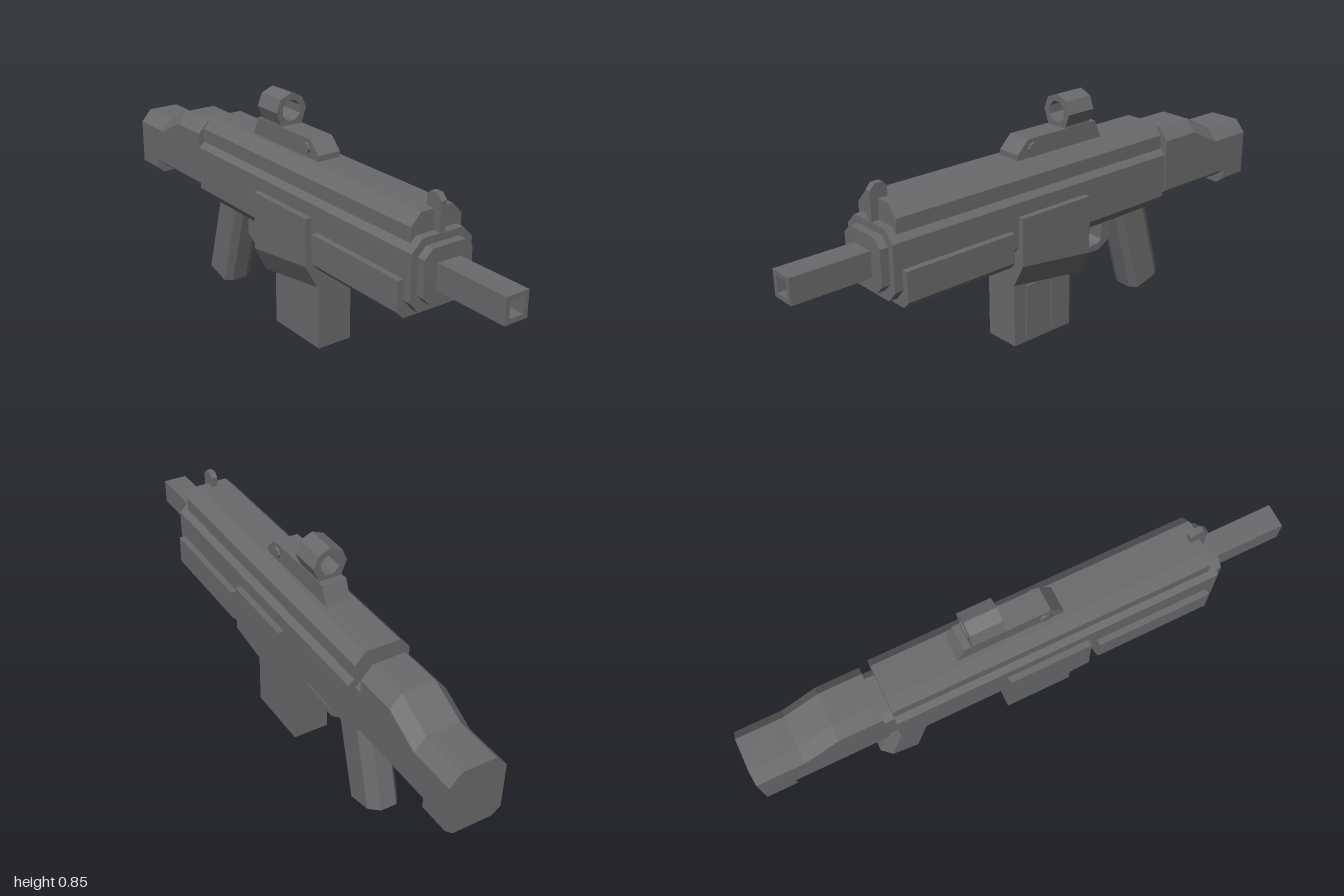
import * as THREE from 'three';

const gunmetal = new THREE.MeshStandardMaterial({ color: 0x6a6a6c });
gunmetal.name = 'gunmetal';
gunmetal.flatShading = true;

// Joins a series of matching 3D rings into a closed solid
function loft(rings) {
  const n = rings[0].length;
  const out = [];
  const tri = (a, b, c) => out.push(...a, ...b, ...c);
  for (let r = 0; r < rings.length - 1; r++) {
    const a = rings[r], b = rings[r + 1];
    for (let i = 0; i < n; i++) {
      const j = (i + 1) % n;
      tri(a[i], b[i], b[j]);
      tri(a[i], b[j], a[j]);
    }
  }
  const first = rings[0], last = rings[rings.length - 1];
  for (let i = 1; i < n - 1; i++) {
    tri(first[0], first[i], first[i + 1]);
    tri(last[0], last[i + 1], last[i]);
  }
  const g = new THREE.BufferGeometry();
  g.setAttribute('position', new THREE.Float32BufferAttribute(out, 3));
  g.computeVertexNormals();
  return g;
}

// Mirrored cross-section at x; half lists [z, y] from bottom to top
function section(x, half) {
  const right = half.map(([z, y]) => [x, y, z]);
  const left = half.map(([z, y]) => [x, y, -z]).reverse();
  return [...right, ...left];
}

// Box section with chamfered corners: [z, y] chamfers at bottom and top
const chamfered = (w, y0, y1, bz, by, tz, ty) =>
  [[w - bz, y0], [w, y0 + by], [w, y1 - ty], [w - tz, y1]];

const beam = (x0, x1, half) => loft([section(x0, half), section(x1, half)]);

function shapeOf(points) {
  return new THREE.Shape(points.map(([x, y]) => new THREE.Vector2(x, y)));
}

// Side profile extruded evenly about z = 0
function plate(points, width) {
  const g = new THREE.ExtrudeGeometry(shapeOf(points), { depth: width, bevelEnabled: false });
  return g.translate(0, 0, -width / 2);
}

// Hollow prism lying along x
function tubeX(sides, outer, inner, turnOuter, turnInner, x0, x1, y) {
  const ring = (r, turn) => Array.from({ length: sides }, (_, i) => {
    const a = turn + (i / sides) * Math.PI * 2;
    return [Math.cos(a) * r, Math.sin(a) * r];
  });
  const shape = shapeOf(ring(outer, turnOuter));
  shape.holes.push(shapeOf(ring(inner, turnInner).reverse()));
  const g = new THREE.ExtrudeGeometry(shape, { depth: x1 - x0, bevelEnabled: false });
  return g.rotateY(Math.PI / 2).translate(x0, y, 0);
}

const box = (x0, x1, y0, y1, z0, z1) =>
  new THREE.BoxGeometry(x1 - x0, y1 - y0, z1 - z0)
    .translate((x0 + x1) / 2, (y0 + y1) / 2, (z0 + z1) / 2);

export function createModel() {
  const model = new THREE.Group();
  model.name = 'rifle';
  const add = (name, geometry) => {
    const mesh = new THREE.Mesh(geometry, gunmetal);
    mesh.name = name;
    model.add(mesh);
  };

  // Receiver, top rail and the stepped collars at both ends
  const body = chamfered(0.12, 0.36, 0.6, 0.035, 0.04, 0.04, 0.04);
  const collar = chamfered(0.095, 0.39, 0.575, 0.03, 0.03, 0.03, 0.03);
  add('receiver', beam(-0.51, 0.69, body));
  add('topRail', beam(-0.51, 0.66, [[0.1, 0.57], [0.1, 0.63], [0.063, 0.67]]));
  add('frontCollar', beam(0.68, 0.72, collar));
  add('rearCollar', beam(-0.56, -0.5, collar));

  // Square barrel with an open muzzle
  add('barrel', box(0.71, 0.95, 0.435, 0.525, -0.045, 0.045));
  add('muzzle', tubeX(4, 0.045 * Math.SQRT2, 0.028 * Math.SQRT2,
    Math.PI / 4, Math.PI / 4, 0.95, 1, 0.48));

  // Handguard
  add('handguard', beam(0.23, 0.66,
    [[0.12, 0.34], [0.143, 0.365], [0.143, 0.47], [0.11, 0.47]]));

  // Stock with a raised comb and a stepped heel
  const stock = [
    [-1, 0.345, 0.58], [-0.89, 0.345, 0.58], [-0.89, 0.38, 0.58],
    [-0.83, 0.38, 0.58], [-0.7, 0.38, 0.645], [-0.545, 0.38, 0.645],
  ];
  add('stock', loft(stock.map(([x, y0, y1]) =>
    section(x, chamfered(0.1, y0, y1, 0.03, 0.025, 0.04, 0.045)))));

  // Magazine housing, tapered towards a sloping lower edge
  const housing = (x, bottom, knee) =>
    section(x, [[0.095, bottom], [0.143, knee], [0.143, 0.512], [0.11, 0.512]]);
  add('magazineHousing', loft([housing(-0.11, 0.207, 0.3), housing(0.195, 0.253, 0.34)]));

  // Magazine with ribs on its far side
  add('magazine', box(-0.09, 0.17, 0, 0.3, -0.068, 0.068));
  for (const x of [-0.04, 0.08]) {
    add('magazineRib', box(x, x + 0.04, 0.02, 0.22, -0.074, -0.06));
  }

  // Raked pistol grip
  const gripRing = (back, front, yBack, yFront) => {
    const outline = [[1, 0.5], [0.9, 1], [0.25, 1], [0, 0.5], [0, -0.5], [0.25, -1], [0.9, -1], [1, -0.5]];
    return outline.map(([t, s]) =>
      [back + (front - back) * t, yBack + (yFront - yBack) * t, s * 0.06]);
  };
  add('grip', loft([gripRing(-0.595, -0.445, 0.055, 0.015), gripRing(-0.495, -0.335, 0.4, 0.4)]));

  // Trigger and its guard
  add('triggerGuard', plate([
    [-0.325, 0.37], [-0.325, 0.255], [-0.275, 0.225], [-0.1, 0.225],
    [-0.1, 0.25], [-0.265, 0.25], [-0.285, 0.265], [-0.285, 0.37],
  ], 0.06));
  add('trigger', plate([
    [-0.225, 0.37], [-0.215, 0.31], [-0.19, 0.28], [-0.172, 0.285],
    [-0.195, 0.325], [-0.195, 0.37],
  ], 0.03));

  // Optic: mount, side bolts and ring
  add('sightMount', plate([
    [-0.255, 0.665], [0.13, 0.665], [0.13, 0.69], [0.085, 0.735], [-0.225, 0.735],
  ], 0.09));
  add('sightBolts', new THREE.CylinderGeometry(0.02, 0.02, 0.106, 8)
    .rotateX(Math.PI / 2).translate(0.065, 0.702, 0));
  add('sightRing', tubeX(8, 0.062, 0.038, 0, Math.PI / 8, -0.2, -0.085, 0.786));
  for (const s of [-1, 1]) {
    add('sightNeck', box(-0.2, -0.085, 0.73, 0.743, s * 0.022 - 0.021, s * 0.022 + 0.021));
  }

  // Front sight blade
  add('frontSight', plate([
    [0.625, 0.59], [0.688, 0.59], [0.688, 0.7], [0.67, 0.72], [0.64, 0.72], [0.625, 0.705],
  ], 0.022));

  return model;
}
